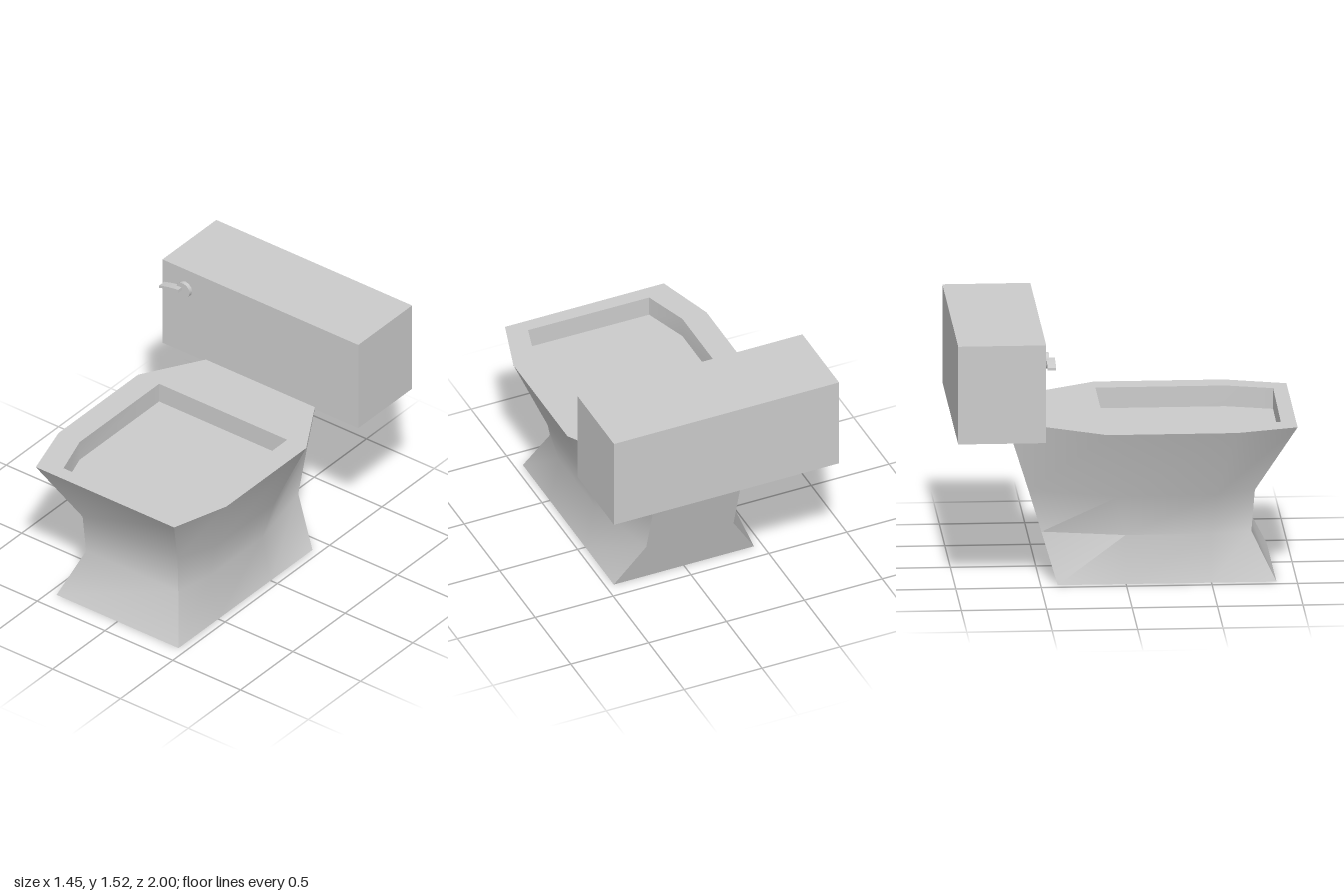
import * as THREE from 'three';
import { toCreasedNormals } from 'three/addons/utils/BufferGeometryUtils.js';

const material = new THREE.MeshStandardMaterial({ color: 0xcccccc });

// Skin between stacked closed loops of [x, y, z] points.
function loft(loops) {
  const positions = [];
  for (let l = 0; l < loops.length - 1; l++) {
    const low = loops[l], high = loops[l + 1], n = low.length;
    for (let i = 0; i < n; i++) {
      const j = (i + 1) % n;
      positions.push(...low[i], ...low[j], ...high[j], ...low[i], ...high[j], ...high[i]);
    }
  }
  const geometry = new THREE.BufferGeometry();
  geometry.setAttribute('position', new THREE.Float32BufferAttribute(positions, 3));
  return toCreasedNormals(geometry, 0.72);
}

// Flat horizontal face bounded by a loop, facing up or down.
function cap(loop, up, hole) {
  const s = up ? -1 : 1;
  const points = (pts) => pts.map(([x, , z]) => new THREE.Vector2(x, s * z));
  const shape = new THREE.Shape(points(loop));
  if (hole) shape.holes.push(new THREE.Path(points(hole)));
  return new THREE.ShapeGeometry(shape).rotateX((s * Math.PI) / 2).translate(0, loop[0][1], 0);
}

// Mirror a right-hand run of [x, z] points into a full loop at height y.
function mirrored(y, half) {
  const right = half.map(([x, z]) => [x, y, z]);
  const left = half.map(([x, z]) => [-x, y, z]).reverse();
  return [...right, ...left];
}

export function createModel() {
  const model = new THREE.Group();
  const add = (name, geometry, parent = model) => {
    const mesh = new THREE.Mesh(geometry, material);
    mesh.name = name;
    parent.add(mesh);
    return mesh;
  };

  // Bowl and pedestal: front corner, side front, side back, back corner
  const bowl = new THREE.Group();
  bowl.name = 'bowl';
  model.add(bowl);
  const sections = [
    mirrored(0, [[0.45, 0.88], [0.45, 0.5], [0.45, 0], [0.45, -0.4]]),
    mirrored(0.28, [[0.34, 0.74], [0.39, 0.5], [0.39, 0], [0.28, -0.485]]),
    mirrored(0.53, [[0.35, 0.76], [0.45, 0.53], [0.45, -0.04], [0.28, -0.56]]),
    mirrored(0.945, [[0.51, 1], [0.62, 0.64], [0.62, -0.12], [0.28, -0.69]]),
  ];
  add('bowlSides', loft(sections), bowl);
  add('bowlBase', cap(sections[0], false), bowl);

  // Recessed basin and the rim around it
  const basin = (y) => [[0.4, 0.915], [0.48, 0.64], [0.48, -0.12], [-0.465, -0.12], [-0.465, 0.64], [-0.375, 0.91]]
    .map(([x, z]) => [x, y, z]);
  add('rim', cap(sections[3], true, basin(0.945)), bowl);
  add('basinWalls', loft([basin(0.945), basin(0.82)]), bowl);
  add('basinFloor', cap(basin(0.82), true), bowl);

  // Tank
  add('tank', new THREE.BoxGeometry(1.445, 0.59, 0.515)).position.set(0, 1.225, -0.7425);

  // Flush handle: round mount with a slightly bent lever
  const handle = new THREE.Group();
  handle.name = 'flushHandle';
  model.add(handle);
  const mount = new THREE.CylinderGeometry(0.05, 0.05, 0.025, 12).rotateX(Math.PI / 2);
  add('handleMount', toCreasedNormals(mount, 0.6), handle).position.set(-0.553, 1.385, -0.4725);
  const lever = new THREE.Shape();
  lever.moveTo(-0.7, 1.361);
  lever.quadraticCurveTo(-0.63, 1.38, -0.56, 1.383);
  lever.lineTo(-0.56, 1.404);
  lever.quadraticCurveTo(-0.63, 1.398, -0.7, 1.377);
  lever.closePath();
  const leverGeometry = new THREE.ExtrudeGeometry(lever, { depth: 0.05, bevelEnabled: false, curveSegments: 4 });
  add('handleLever', leverGeometry, handle).position.z = -0.475;

  return model;
}
